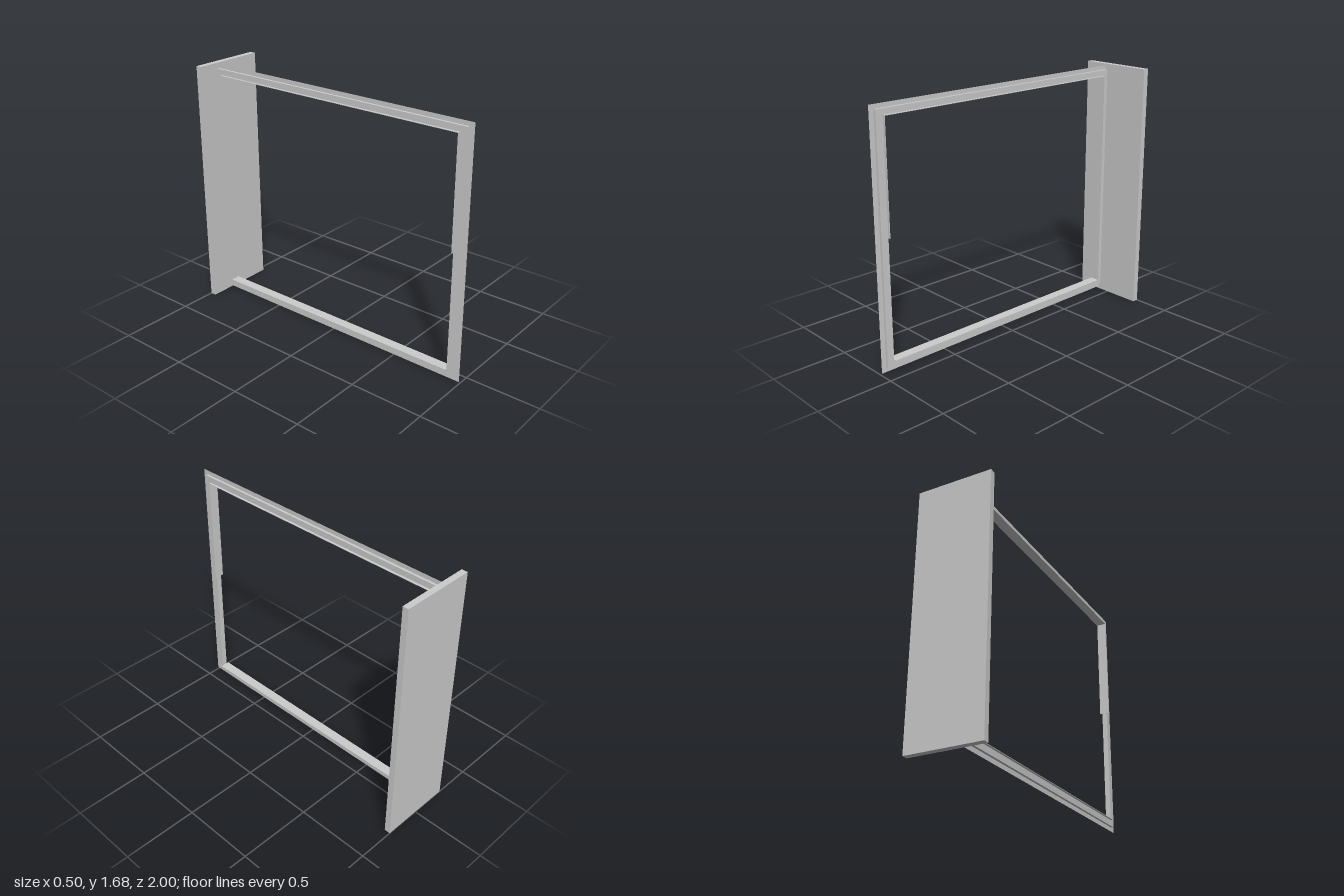
import * as THREE from 'three';

const CX = -0.0875; // centre plane of the frame

// Rectangular ring in the z/y plane
function ringShape(outer, inner) {
  const rect = (path, [z0, z1, y0, y1]) => path.moveTo(z0, y0).lineTo(z1, y0).lineTo(z1, y1).lineTo(z0, y1).closePath();
  const shape = rect(new THREE.Shape(), outer);
  shape.holes.push(rect(new THREE.Path(), inner));
  return shape;
}

export function createModel() {
  const group = new THREE.Group();
  const grey = new THREE.MeshStandardMaterial({ color: 0xcccccc });
  const thin = new THREE.MeshStandardMaterial({ color: 0xcccccc, side: THREE.DoubleSide });

  const add = (name, geometry, material = grey) => {
    const mesh = new THREE.Mesh(geometry, material);
    mesh.name = name;
    group.add(mesh);
    return mesh;
  };
  // Box given by its limits
  const box = (name, x0, x1, y0, y1, z0, z1) =>
    add(name, new THREE.BoxGeometry(x1 - x0, y1 - y0, z1 - z0))
      .position.set((x0 + x1) / 2, (y0 + y1) / 2, (z0 + z1) / 2);

  // Upright board at the back
  box('backBoard', -0.25, 0.25, 0, 1.676, -1, -0.96);

  const opening = [-0.918, 0.918, 0.083, 1.599];
  const core = [-0.966, 0.966, 0.043, 1.637];

  // Main frame ring
  const ring = new THREE.ExtrudeGeometry(ringShape(core, opening), { depth: 0.034, bevelEnabled: false });
  ring.translate(0, 0, -0.017).rotateY(-Math.PI / 2).translate(CX, 0, 0);
  add('frame', ring);

  // Paper-thin flange around the frame
  const flange = new THREE.ShapeGeometry(ringShape([-0.999, 1, 0.014, 1.665], core));
  flange.rotateY(-Math.PI / 2).translate(CX, 0, 0);
  add('flange', flange, thin);

  // Wide thin lining inside the opening
  const x0 = CX - 0.0325, x1 = CX + 0.0325, t = 0.003;
  box('headLining', x0, x1, 1.599 - t, 1.599, -0.918, 0.918);
  box('sillLining', x0, x1, 0.083, 0.083 + t, -0.918, 0.918);
  box('backLining', x0, x1, 0.083, 1.599, -0.918, -0.918 + t);
  // Upper half only on the front jamb
  box('frontUpperLining', x0, x1, 0.872, 1.599, 0.918 - t, 0.918);

  return group;
}
